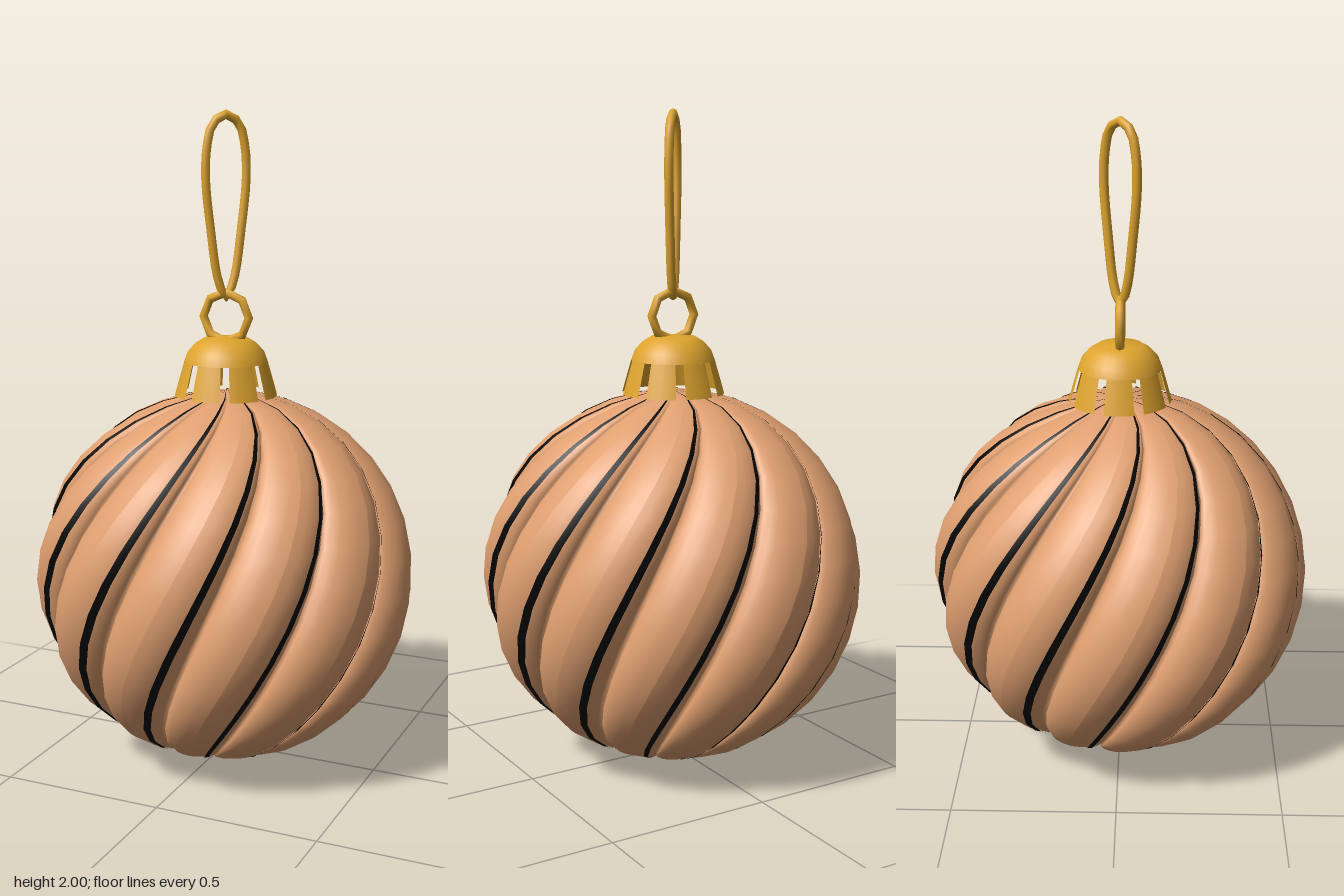
import * as THREE from 'three';

const TAN = 0xdf9f70, BLACK = 0x060606, GOLD = 0xdea42e;
const LOBES = 12, CENTER_Y = 0.58, HEIGHT_R = 0.576, LAT_STEPS = 18;

const material = (color, side = THREE.FrontSide) => new THREE.MeshStandardMaterial({ color, side });

function addMesh(parent, name, geometry, mat) {
  const mesh = new THREE.Mesh(geometry, mat);
  mesh.name = name;
  parent.add(mesh);
  return mesh;
}

// Lobe cross-section: plump bulges with a deep groove at every whole t
const lobeRadius = (t) => 0.508 + 0.083 * Math.sqrt(Math.abs(Math.sin(Math.PI * t)));

// One pole-to-pole strip, twisted a quarter turn on the way up
function lobeStrip(ts, lift = 0) {
  const positions = [], index = [], n = ts.length;
  for (let i = 0; i <= LAT_STEPS; i++) {
    const lat = Math.PI * (i / LAT_STEPS - 0.5);
    for (const t of ts) {
      const phi = THREE.MathUtils.degToRad(17) + lat * 0.5 - (t * 2 * Math.PI) / LOBES;
      const r = (lobeRadius(t) + lift) * Math.cos(lat);
      positions.push(r * Math.sin(phi), CENTER_Y + (HEIGHT_R + lift * 0.4) * Math.sin(lat), r * Math.cos(phi));
    }
  }
  for (let i = 0; i < LAT_STEPS; i++) {
    for (let j = 0; j < n - 1; j++) {
      const a = i * n + j, b = a + n;
      index.push(a, b, a + 1, b, b + 1, a + 1);
    }
  }
  const geometry = new THREE.BufferGeometry();
  geometry.setAttribute('position', new THREE.Float32BufferAttribute(positions, 3));
  geometry.setIndex(index);
  geometry.computeVertexNormals();
  return geometry;
}

export function createModel() {
  const model = new THREE.Group();
  model.name = 'ornament';

  // Twisted ball: each strip runs crest to crest so the groove shades softly,
  // with a dark stripe beside the groove
  const ball = new THREE.Group();
  ball.name = 'ball';
  model.add(ball);
  const lobeGeometry = lobeStrip(
    [-0.5, -0.37, -0.25, -0.15, -0.08, -0.03, 0, 0.03, 0.08, 0.13, 0.17, 0.21, 0.3, 0.4, 0.5]);
  const stripeGeometry = lobeStrip([0.13, 0.17, 0.21], 0.005);
  const lobeMat = material(TAN);
  const stripeMat = material(BLACK, THREE.DoubleSide);
  for (let k = 0; k < LOBES; k++) {
    const angle = (k * 2 * Math.PI) / LOBES;
    addMesh(ball, 'lobe', lobeGeometry, lobeMat).rotation.y = angle;
    addMesh(ball, 'stripe', stripeGeometry, stripeMat).rotation.y = angle;
  }

  // Cap: a dome with eight flared tabs
  const cap = new THREE.Group();
  cap.name = 'cap';
  model.add(cap);
  const points = (list) => list.map(([x, y]) => new THREE.Vector2(x, y));
  const capMat = material(GOLD, THREE.DoubleSide);
  const dome = points([[0.128, 1.25], [0.117, 1.28], [0.095, 1.305], [0.068, 1.322], [0, 1.328]]);
  addMesh(cap, 'capDome', new THREE.LatheGeometry(dome, 32), capMat);
  const tabWidth = THREE.MathUtils.degToRad(34);
  const tab = new THREE.LatheGeometry(
    points([[0.157, 1.148], [0.141, 1.205], [0.128, 1.25]]), 4, -tabWidth / 2, tabWidth);
  for (let k = 0; k < 8; k++) {
    addMesh(cap, 'capTab', tab, capMat).rotation.y = (k * Math.PI) / 4;
  }

  // Ring through the top of the cap
  const goldMat = material(GOLD);
  const ring = addMesh(model, 'ring', new THREE.TorusGeometry(0.075, 0.014, 8, 8), goldMat);
  ring.position.y = 1.386;

  // Hanging loop, narrow at the ring and turned diagonally
  const half = [[0.026, 1.5], [0.05, 1.65], [0.066, 1.8], [0.062, 1.89], [0.042, 1.96]];
  const path = [
    [0, 1.446], ...half, [0, 1.986],
    ...half.slice().reverse().map(([x, y]) => [-x, y]),
  ].map(([x, y]) => new THREE.Vector3(x, y, 0));
  const curve = new THREE.CatmullRomCurve3(path, true);
  const loop = addMesh(model, 'hangingLoop', new THREE.TubeGeometry(curve, 32, 0.014, 8, true), goldMat);
  loop.rotation.y = THREE.MathUtils.degToRad(48);

  return model;
}
